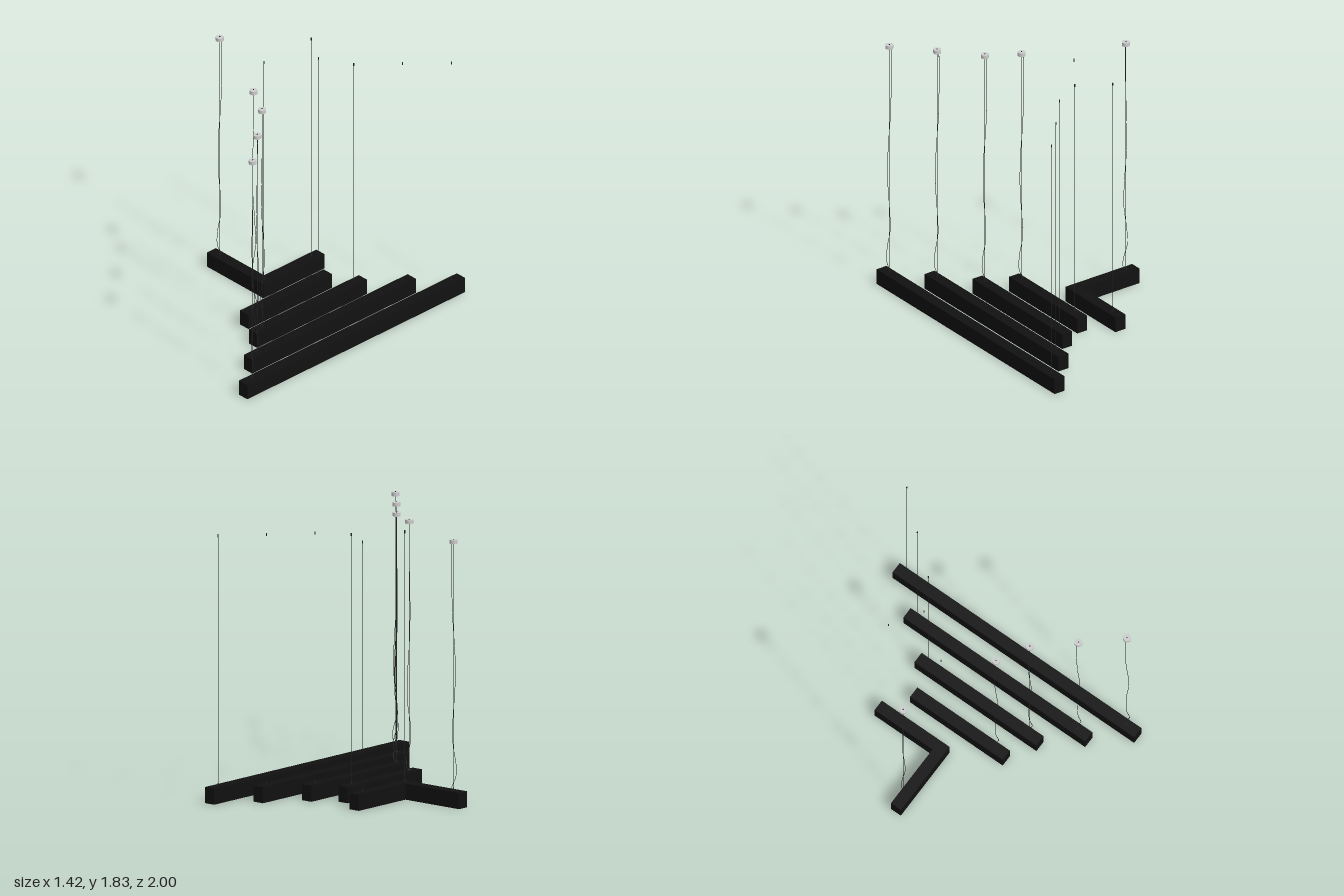
import * as THREE from 'three';

const black = new THREE.MeshStandardMaterial({ color: 0x111111 });
const dark = new THREE.MeshStandardMaterial({ color: 0x222222 });
const grey = new THREE.MeshStandardMaterial({ color: 0xcccccc });

const BAR_TOP = 0.11, CEILING = 1.83;

function addMesh(parent, name, geometry, material, x = 0, y = 0, z = 0) {
  const mesh = new THREE.Mesh(geometry, material);
  mesh.name = name;
  mesh.position.set(x, y, z);
  parent.add(mesh);
  return mesh;
}

// Plan outline (x, z) extruded between two heights
function slab(outline, yLow, yHigh, hole) {
  const toPoints = (pts) => pts.map(([x, z]) => new THREE.Vector2(x, z));
  const shape = new THREE.Shape(toPoints(outline));
  if (hole) shape.holes.push(new THREE.Path(toPoints(hole)));
  const g = new THREE.ExtrudeGeometry(shape, { depth: yHigh - yLow, bevelEnabled: false });
  return g.rotateX(Math.PI / 2).translate(0, yHigh, 0);
}

const rectangle = (x0, x1, z0, z1) => [[x0, z0], [x1, z0], [x1, z1], [x0, z1]];

// Black housing with a thin rim around a recessed light panel
function addHousing(parent, outline, inner) {
  addMesh(parent, 'housing', slab(outline, 0.004, BAR_TOP), black);
  addMesh(parent, 'housingRim', slab(outline, 0, 0.004, inner), black);
  addMesh(parent, 'diffuser', slab(inner, 0.001, 0.004), grey);
}

// Straight steel wire with a gripper at each end
function addSuspension(parent, x, z) {
  const length = CEILING - BAR_TOP;
  addMesh(parent, 'suspensionWire',
    new THREE.CylinderGeometry(0.0012, 0.0012, length, 6), dark, x, BAR_TOP + length / 2, z);
  const grip = new THREE.CylinderGeometry(0.004, 0.004, 0.02, 10);
  addMesh(parent, 'lowerGrip', grip, dark, x, BAR_TOP + 0.01, z);
  addMesh(parent, 'ceilingGrip', grip, dark, x, CEILING - 0.008, z);
}

// Ceiling canopy with a slack power cord
const cordPath = new THREE.CatmullRomCurve3([
  [-0.008, 1.81, -0.010], [-0.009, 1.55, -0.010], [-0.008, 1.30, -0.002],
  [0.004, 1.02, 0.009], [0.013, 0.80, 0.000], [0.007, 0.60, -0.012],
  [-0.008, 0.42, 0.002], [0.006, 0.29, 0.016], [0.022, 0.20, 0.000],
  [0.010, 0.145, -0.018], [-0.006, 0.118, -0.014], [-0.010, 0.122, 0.008], [-0.006, 0.108, 0.016],
].map((p) => new THREE.Vector3(...p)));

function addPowerFeed(parent, x, z, turn = 0) {
  const feed = new THREE.Group();
  feed.name = 'powerFeed';
  feed.position.set(x, 0, z);
  feed.rotation.y = turn;
  parent.add(feed);
  addMesh(feed, 'canopy', new THREE.CylinderGeometry(0.027, 0.027, 0.026, 32), grey, 0, CEILING - 0.015, 0);
  addMesh(feed, 'powerCord', new THREE.TubeGeometry(cordPath, 120, 0.0017, 6), dark);
}

export function createModel() {
  const model = new THREE.Group();
  model.name = 'pendantLights';

  // Straight lamps: centre x, half length, distance of the hangers from the middle
  const lamps = [
    [0.02, 0.383, 0.298],
    [0.236, 0.505, 0.42],
    [0.451, 0.752, 0.667],
    [0.668, 1.0, 0.912],
  ];
  const half = 0.041, rim = 0.004;
  for (const [x, len, hang] of lamps) {
    const lamp = new THREE.Group();
    lamp.name = 'straightLamp';
    model.add(lamp);
    addHousing(lamp,
      rectangle(x - half, x + half, -len, len),
      rectangle(x - half + rim, x + half - rim, -len + rim, len - rim));
    addSuspension(lamp, x, -hang);
    addSuspension(lamp, x, hang);
    addPowerFeed(lamp, x, hang);
  }

  // Corner lamp: one arm along x, one towards the back
  const corner = new THREE.Group();
  corner.name = 'cornerLamp';
  model.add(corner);
  const cornerOutline = (d) => [
    [-0.711 + d, -0.041 + d], [-0.237 + d, -0.041 + d], [-0.237 + d, -0.52 + d],
    [-0.155 - d, -0.52 + d], [-0.155 - d, 0.041 - d], [-0.711 + d, 0.041 - d],
  ];
  addHousing(corner, cornerOutline(0), cornerOutline(rim));
  for (const [x, z] of [[-0.628, 0], [-0.196, 0], [-0.196, -0.435]]) addSuspension(corner, x, z);
  addPowerFeed(corner, -0.628, 0, -Math.PI / 2);

  return model;
}
